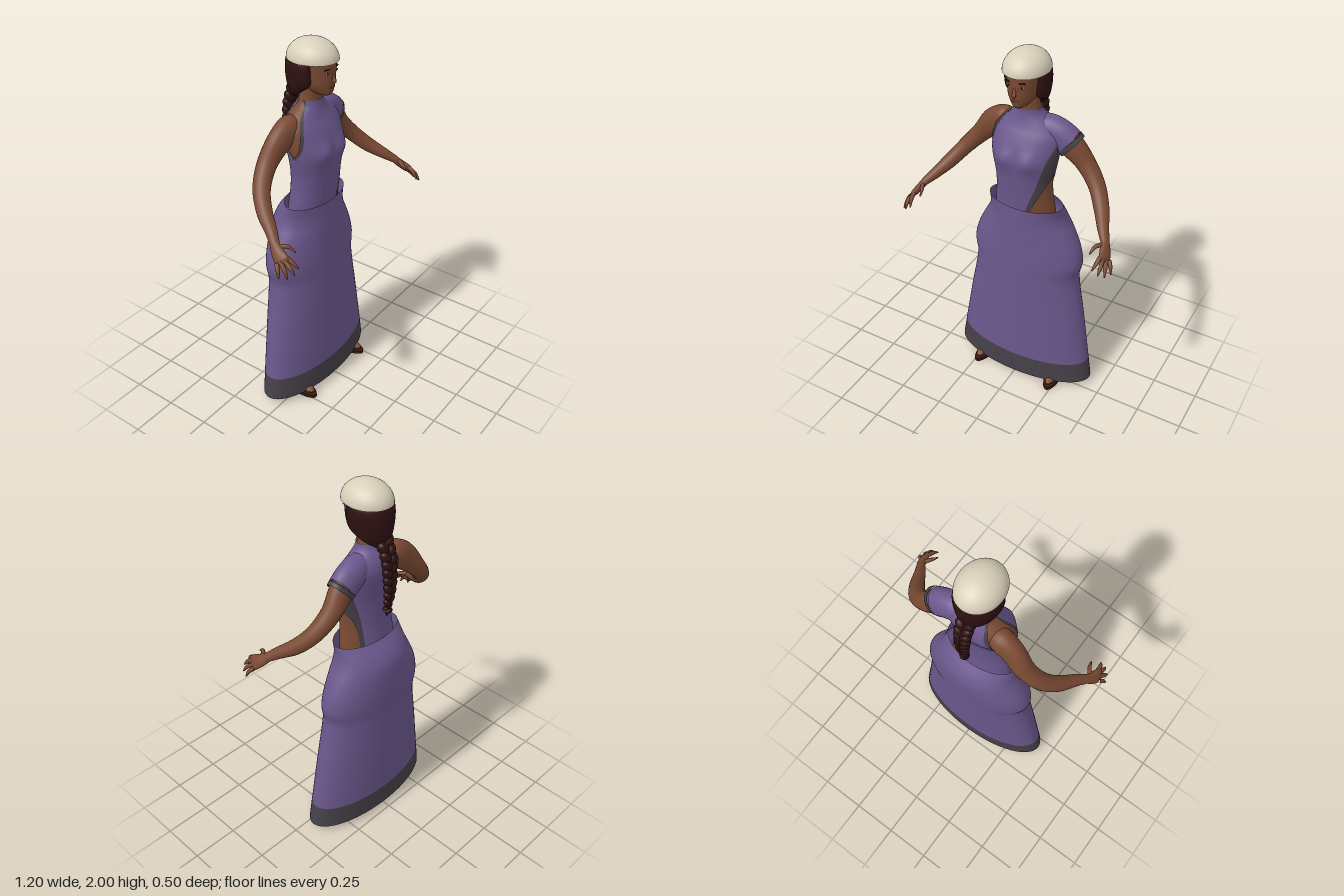
import * as THREE from 'three';
import { ParametricGeometry } from 'three/addons/geometries/ParametricGeometry.js';

const flat = (name, color, side = THREE.FrontSide) => {
  const m = new THREE.MeshStandardMaterial({ color, side });
  m.name = name;
  return m;
};

// Smooth lookup of column c in rows sorted by their first entry
function look(rows, x, c = 1) {
  const n = rows.length - 1;
  let i = 0;
  while (i < n - 1 && x > rows[i + 1][0]) i++;
  const slope = (k) => {
    const a = rows[Math.max(k - 1, 0)], b = rows[Math.min(k + 1, n)];
    return (b[c] - a[c]) / (b[0] - a[0]);
  };
  const h = rows[i + 1][0] - rows[i][0];
  const t = Math.min(Math.max((x - rows[i][0]) / h, 0), 1), s = 1 - t;
  return rows[i][c] * (1 + 2 * t) * s * s + slope(i) * h * t * s * s
    + rows[i + 1][c] * t * t * (3 - 2 * t) - slope(i + 1) * h * t * t * s;
}

// Cross-section rows: [height, half width, front z, back z]
const TORSO = [
  [1.0, 0.175, 0.03, -0.17], [1.16, 0.162, 0.043, -0.152], [1.24, 0.153, 0.05, -0.145],
  [1.32, 0.153, 0.058, -0.145], [1.40, 0.166, 0.066, -0.15], [1.45, 0.174, 0.066, -0.158],
  [1.52, 0.18, 0.047, -0.17], [1.57, 0.178, 0.025, -0.174], [1.61, 0.152, 0.002, -0.168],
  [1.645, 0.108, -0.012, -0.154], [1.67, 0.075, -0.018, -0.138], [1.70, 0.064, -0.022, -0.128],
  [1.78, 0.055, -0.02, -0.12]];
const SKIRT = [
  [0.035, 0.42, 0.105, -0.225], [0.16, 0.40, 0.101, -0.228], [0.45, 0.352, 0.09, -0.235],
  [0.72, 0.306, 0.08, -0.242], [0.81, 0.32, 0.076, -0.247], [0.87, 0.311, 0.072, -0.25],
  [0.93, 0.29, 0.068, -0.251], [1.0, 0.255, 0.065, -0.25], [1.05, 0.228, 0.062, -0.243],
  [1.10, 0.212, 0.06, -0.218], [1.16, 0.208, 0.058, -0.166]];
const HEAD = [
  [1.725, 0.002, 0.02, 0.01], [1.735, 0.03, 0.045, -0.05], [1.755, 0.05, 0.055, -0.09],
  [1.79, 0.072, 0.06, -0.13], [1.83, 0.082, 0.062, -0.16], [1.87, 0.088, 0.064, -0.17],
  [1.91, 0.09, 0.062, -0.175], [1.96, 0.065, 0.03, -0.14], [1.985, 0.004, -0.05, -0.06]];
const HAIR = [
  [1.685, 0.045, -0.03, -0.155], [1.71, 0.072, 0.0, -0.178], [1.74, 0.094, 0.04, -0.192],
  [1.79, 0.11, 0.075, -0.2], [1.84, 0.116, 0.08, -0.203], [1.89, 0.113, 0.075, -0.198],
  [1.925, 0.098, 0.06, -0.182]];

// Edges of the bodice as angles: 0 is the front, positive turns to the left side
const LF = [[1.0, 0.1], [1.16, 0.31], [1.3, 0.7], [1.4, 0.88], [1.5, 1.1], [1.57, 1.57], [1.7, 1.57]];
const LB = [[1.0, 2.65], [1.16, 2.55], [1.3, 2.4], [1.4, 2.25], [1.5, 2.0], [1.57, 1.57], [1.7, 1.57]];
const CUT_F = [[1.0, 0.25], [1.16, 0.47], [1.3, 1.08], [1.38, 1.57], [1.7, 1.57]];
const CUT_B = [[1.0, 2.5], [1.16, 2.38], [1.3, 2.1], [1.38, 1.57], [1.7, 1.57]];
const RF = [[1.0, -1.57], [1.40, -1.57], [1.43, -1.57], [1.46, -1.25], [1.52, -1.0],
  [1.6, -0.88], [1.645, -1.0], [1.7, -1.25]];
const RB = [[1.0, -1.57], [1.40, -1.57], [1.43, -1.57], [1.47, -1.9], [1.53, -2.45],
  [1.6, -2.6], [1.645, -2.4], [1.7, -1.95]];

export function createModel() {
  const group = new THREE.Group();
  const skin = flat('brown skin', 0x7a4a33);
  const purple = flat('purple cloth', 0x6a578c, THREE.DoubleSide);
  const gray = flat('dark gray trim', 0x454048, THREE.DoubleSide);
  const cream = flat('cream cap', 0xd9d0ba, THREE.DoubleSide);
  const hairMat = flat('dark hair', 0x2e1111, THREE.DoubleSide);
  const leather = flat('sandal leather', 0x35180f);
  const white = flat('eye white', 0xc9bdb0);
  const lipMat = flat('lip', 0x6a3228);

  const add = (name, geo, mat, x = 0, y = 0, z = 0) => {
    const m = new THREE.Mesh(geo, mat);
    m.name = name;
    m.position.set(x, y, z);
    group.add(m);
    return m;
  };
  const blob = (name, mat, p, s) => {
    const m = add(name, new THREE.SphereGeometry(1, 20, 14), mat, ...p);
    m.scale.set(...s);
    return m;
  };

  // Part of a lofted surface between two heights and two angles
  const patch = (name, mat, rows, y0, y1, a, b, { off = 0, nu = 40, nv = 36, shape } = {}) => {
    const at = (e, y) => (typeof e === 'number' ? e : look(e, y));
    add(name, new ParametricGeometry((u, v, p) => {
      const y = y0 + (y1 - y0) * v, th = at(a, y) + (at(b, y) - at(a, y)) * u;
      const f = look(rows, y, 2), k = look(rows, y, 3), s = shape ? shape(u) : 1;
      p.set((look(rows, y) + off) * s * Math.sin(th), y,
        (f + k) / 2 + ((f - k) / 2 + off) * s * Math.cos(th));
      if (rows === TORSO && Math.cos(th) > 0) { // bust
        p.z += 0.022 * Math.cos(th) * Math.exp(-((Math.abs(p.x) - 0.075) ** 2) / 0.003 - ((y - 1.45) ** 2) / 0.003);
      }
    }, nu, nv), mat);
  };

  // Tapered limb through points [x, y, z, radius, depth radius]
  const limb = (name, mat, pts, nv = 24, nu = 16) => {
    const path = new THREE.CatmullRomCurve3(pts.map((p) => new THREE.Vector3(p[0], p[1], p[2])));
    const size = new THREE.CatmullRomCurve3(pts.map((p) => new THREE.Vector3(p[3], p[4] ?? p[3], 0)));
    const Z = new THREE.Vector3(0, 0, 1);
    add(name, new ParametricGeometry((u, v, p) => {
      const T = path.getTangent(v), r = size.getPoint(v), a = u * Math.PI * 2;
      const U = Z.clone().cross(T).normalize(), V = T.clone().cross(U);
      p.copy(path.getPoint(v)).addScaledVector(U, r.x * Math.cos(a)).addScaledVector(V, r.y * Math.sin(a));
    }, nu, nv), mat);
  };

  // Body and head
  const PI = Math.PI;
  patch('body', skin, TORSO, 1.0, 1.78, -PI, PI, { nu: 56, nv: 44 });
  patch('head', skin, HEAD, 1.725, 1.985, -PI, PI, { nu: 40, nv: 32 });
  limb('nose', skin, [[0, 1.855, 0.056, 0.005], [0, 1.825, 0.063, 0.009],
    [0, 1.808, 0.067, 0.012, 0.01], [0, 1.8, 0.06, 0.003]], 10, 10);
  blob('lips', lipMat, [0, 1.778, 0.057], [0.02, 0.006, 0.005]);

  // Bodice: halter on the right, covered shoulder and cut-out on the left
  const cloth = { off: 0.006 };
  const back = LB.map(([y, a]) => [y, a - 2 * PI]);
  patch('bodiceFront', purple, TORSO, 1.05, 1.7, RF, LF, cloth);
  patch('bodiceBack', purple, TORSO, 1.05, 1.7, back, RB, cloth);
  patch('cutoutTrimFront', gray, TORSO, 1.05, 1.57, LF, CUT_F, { off: 0.006, nu: 12 });
  patch('cutoutTrimBack', gray, TORSO, 1.05, 1.57, CUT_B, LB, { off: 0.006, nu: 12 });
  patch('halterTrimFront', gray, TORSO, 1.43, 1.7, RF.map(([y, a]) => [y, a - 0.14]), RF, { off: 0.007, nu: 4 });
  patch('halterTrimBack', gray, TORSO, 1.43, 1.7, RB, RB.map(([y, a]) => [y, a + 0.16]), { off: 0.007, nu: 4 });
  limb('capSleeve', purple, [[0.05, 1.605, -0.085, 0.06, 0.06], [0.12, 1.583, -0.095, 0.08, 0.067],
    [0.17, 1.56, -0.1, 0.084, 0.066], [0.215, 1.53, -0.105, 0.083, 0.064]], 12, 28);
  limb('sleeveTrim', gray, [[0.211, 1.533, -0.105, 0.084, 0.065], [0.232, 1.515, -0.106, 0.082, 0.063]], 2, 28);

  // Long open skirt with a hem band
  patch('skirt', purple, SKIRT, 0.165, 1.16, -PI, PI, { nu: 64, nv: 60 });
  patch('hemBand', gray, SKIRT, 0.035, 0.165, -PI, PI, { nu: 64, nv: 4 });

  // Cap, hair and braid
  const cap = add('cap', new THREE.SphereGeometry(1, 36, 16, 0, PI * 2, 0, PI / 2), cream, 0, 1.9, -0.06);
  cap.scale.set(0.114, 0.1, 0.135);
  const edge = [[1.685, 2.5], [1.71, 2.0], [1.74, 1.6], [1.78, 1.18], [1.84, 1.08], [1.925, 1.05]];
  patch('hair', hairMat, HAIR, 1.685, 1.925, edge, edge.map(([y, a]) => [y, 2 * PI - a]),
    { nu: 48, nv: 20, shape: (u) => 1 - 0.28 * Math.abs(2 * u - 1) ** 14 });
  const braid = [[1.32, -0.198, 0.006], [1.37, -0.203, 0.017], [1.45, -0.212, 0.025],
    [1.55, -0.212, 0.03], [1.64, -0.2, 0.033], [1.72, -0.17, 0.036]];
  for (let i = 0; i < 18; i++) {
    const y = 1.715 - i * 0.021, r = look(braid, y, 2), s = i % 2 ? 1 : -1;
    const b = blob('braidStrand', hairMat, [s * r * 0.5, y, look(braid, y)], [r * 0.8, r * 1.15, r * 0.85]);
    b.rotation.z = -s * 0.6;
  }
  limb('braidTip', hairMat, [[0, 1.37, -0.203, 0.014], [0, 1.345, -0.2, 0.014], [0, 1.315, -0.197, 0.002]], 8, 10);

  // Mirrored parts
  for (const s of [1, -1]) {
    const side = s > 0 ? 'left' : 'right';
    const mir = (pts) => pts.map(([x, ...rest]) => [s * x, ...rest]);
    blob(side + 'Eye', white, [s * 0.036, 1.853, 0.0515], [0.013, 0.006, 0.004]);
    blob(side + 'Iris', hairMat, [s * 0.036, 1.853, 0.0535], [0.0065, 0.006, 0.004]);
    const brow = add(side + 'Brow', new THREE.BoxGeometry(0.03, 0.005, 0.006), hairMat, s * 0.037, 1.873, 0.054);
    brow.rotation.y = s * 0.35;

    limb(side + 'Arm', skin, mir([[0.08, 1.58, -0.09, 0.05], [0.15, 1.565, -0.1, 0.075, 0.06],
      [0.21, 1.53, -0.105, 0.072, 0.056], [0.3, 1.435, -0.115, 0.05, 0.05], [0.38, 1.345, -0.085, 0.042, 0.045],
      [0.44, 1.27, -0.02, 0.038, 0.04], [0.49, 1.215, 0.06, 0.028, 0.03], [0.525, 1.18, 0.108, 0.02, 0.024]]), 36, 20);
    limb(side + 'Palm', skin, mir([[0.52, 1.185, 0.1, 0.019, 0.023], [0.54, 1.155, 0.137, 0.019, 0.034],
      [0.553, 1.135, 0.168, 0.015, 0.039], [0.56, 1.122, 0.187, 0.004, 0.03]]), 12);
    const fingers = [
      [[0.54, 1.15, 0.185], [0.535, 1.13, 0.22], [0.525, 1.1, 0.248]],
      [[0.55, 1.139, 0.18], [0.557, 1.113, 0.22], [0.556, 1.08, 0.248]],
      [[0.56, 1.127, 0.168], [0.575, 1.1, 0.203], [0.583, 1.065, 0.226]],
      [[0.57, 1.116, 0.153], [0.588, 1.095, 0.173], [0.599, 1.063, 0.187]],
      [[0.527, 1.178, 0.125], [0.5, 1.18, 0.165], [0.488, 1.155, 0.203]]];
    const r = [0.012, 0.0105, 0.003];
    for (const f of fingers) limb(side + 'Finger', skin, mir(f.map((p, i) => [...p, r[i]])), 8, 8);

    limb(side + 'Leg', skin, mir([[0.1, 1.02, -0.06, 0.085], [0.14, 0.75, -0.06, 0.078], [0.18, 0.5, -0.065, 0.052],
      [0.2, 0.33, -0.085, 0.052], [0.217, 0.12, -0.085, 0.03], [0.219, 0.03, -0.08, 0.034]]), 24);
    const foot = blob(side + 'Foot', skin, [s * 0.222, 0.035, -0.005], [0.037, 0.026, 0.115]);
    foot.rotation.y = s * 0.1;
    const sole = add(side + 'Sandal', new THREE.CylinderGeometry(1, 1, 0.018, 28), leather, s * 0.222, 0.009, -0.005);
    sole.scale.set(0.046, 1, 0.13);
    sole.rotation.y = s * 0.1;
    const strap = add(side + 'Strap', new THREE.TorusGeometry(0.036, 0.006, 8, 20, PI), leather, s * 0.226, 0.018, 0.05);
    strap.rotation.y = s * 0.1;
  }
  return group;
}
